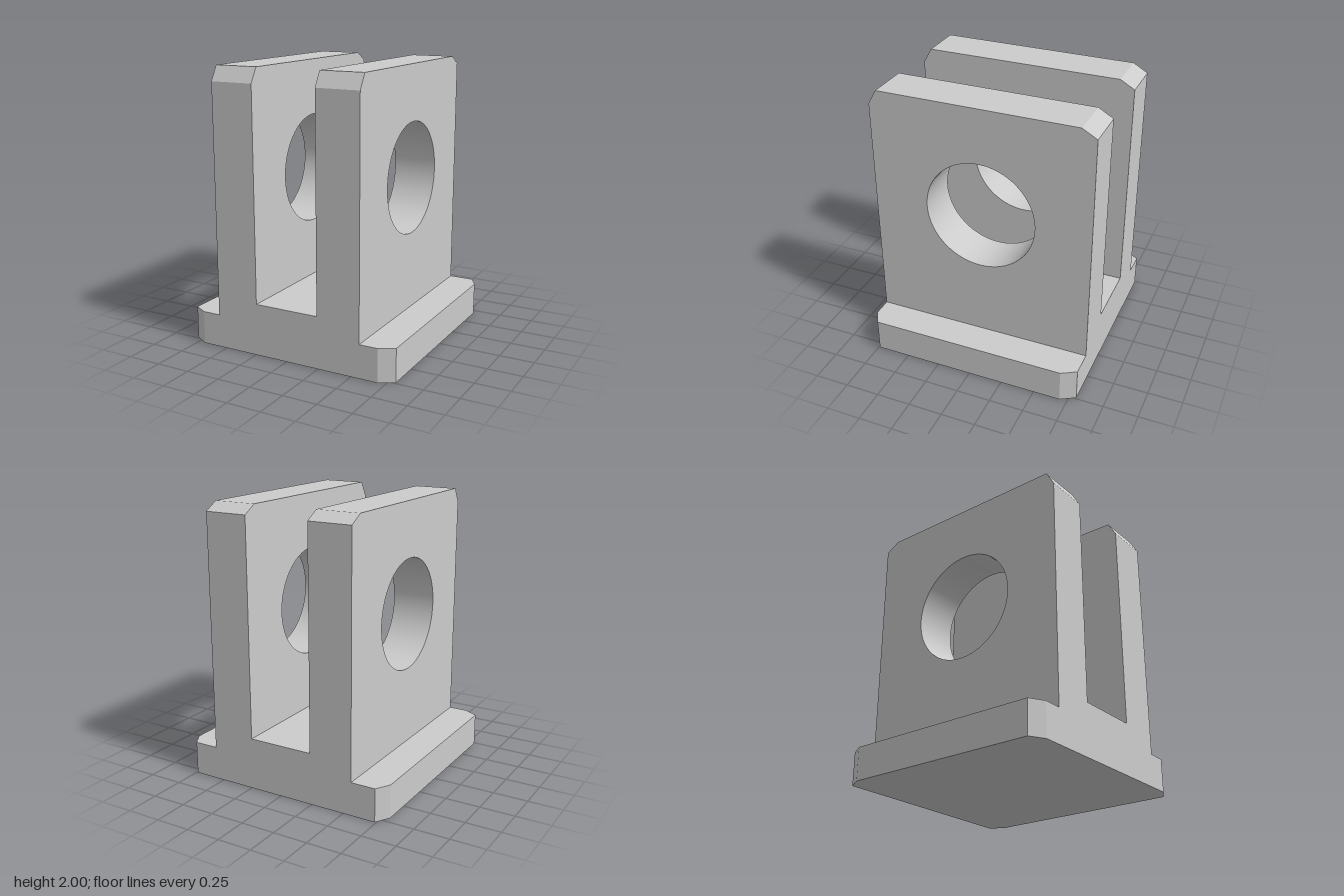
import * as THREE from 'three';
import { toCreasedNormals } from 'three/addons/utils/BufferGeometryUtils.js';

const material = new THREE.MeshStandardMaterial({ color: 0xcccccc });

const HALF = 0.8;        // half width and half depth of the base
const BASE_H = 0.24;     // base thickness
const FLOOR_Y = 0.375;   // floor of the slot
const SLOT = 0.24;       // half width of the slot
const LUG_W = 0.32;      // lug thickness
const SMALL = 0.06;      // chamfer legs
const LARGE = 0.105;

function polygon(points) {
  return new THREE.Shape(points.map(([x, y]) => new THREE.Vector2(x, y)));
}

function extrude(shape, depth) {
  const geometry = new THREE.ExtrudeGeometry(shape, { depth, bevelEnabled: false, curveSegments: 64 });
  return toCreasedNormals(geometry, 0.3);
}

function mesh(name, geometry) {
  const m = new THREE.Mesh(geometry, material);
  m.name = name;
  return m;
}

// Square plate with four chamfered corners, drawn as (x, -z)
function basePlate() {
  const h = HALF;
  const shape = polygon([
    [-h + LARGE, -h], [h - LARGE, -h], [h, -h + SMALL], [h, h - LARGE],
    [h - SMALL, h], [-h + SMALL, h], [-h, h - LARGE], [-h, -h + SMALL],
  ]);
  return mesh('basePlate', extrude(shape, BASE_H).rotateX(-Math.PI / 2));
}

// Upright plate with chamfered top corners and a pin hole, drawn as (-z, y)
function lug(name, x) {
  const h = HALF;
  const shape = polygon([
    [-h, BASE_H], [h, BASE_H], [h, 2 - SMALL], [h - LARGE, 2],
    [-h + SMALL, 2], [-h, 2 - LARGE],
  ]);
  const hole = new THREE.Path();
  hole.absarc(0, 1.2, 0.4, 0, Math.PI * 2, true);
  shape.holes.push(hole);
  const m = mesh(name, extrude(shape, LUG_W).rotateY(Math.PI / 2));
  m.position.x = x;
  return m;
}

export function createModel() {
  const group = new THREE.Group();
  group.name = 'clevisBracket';

  group.add(basePlate());
  group.add(lug('leftLug', SLOT), lug('rightLug', -SLOT - LUG_W));

  // Raised floor between the lugs
  const floor = mesh('slotFloor', new THREE.BoxGeometry(2 * SLOT, FLOOR_Y - BASE_H, 2 * HALF));
  floor.position.y = (FLOOR_Y + BASE_H) / 2;
  group.add(floor);

  return group;
}
